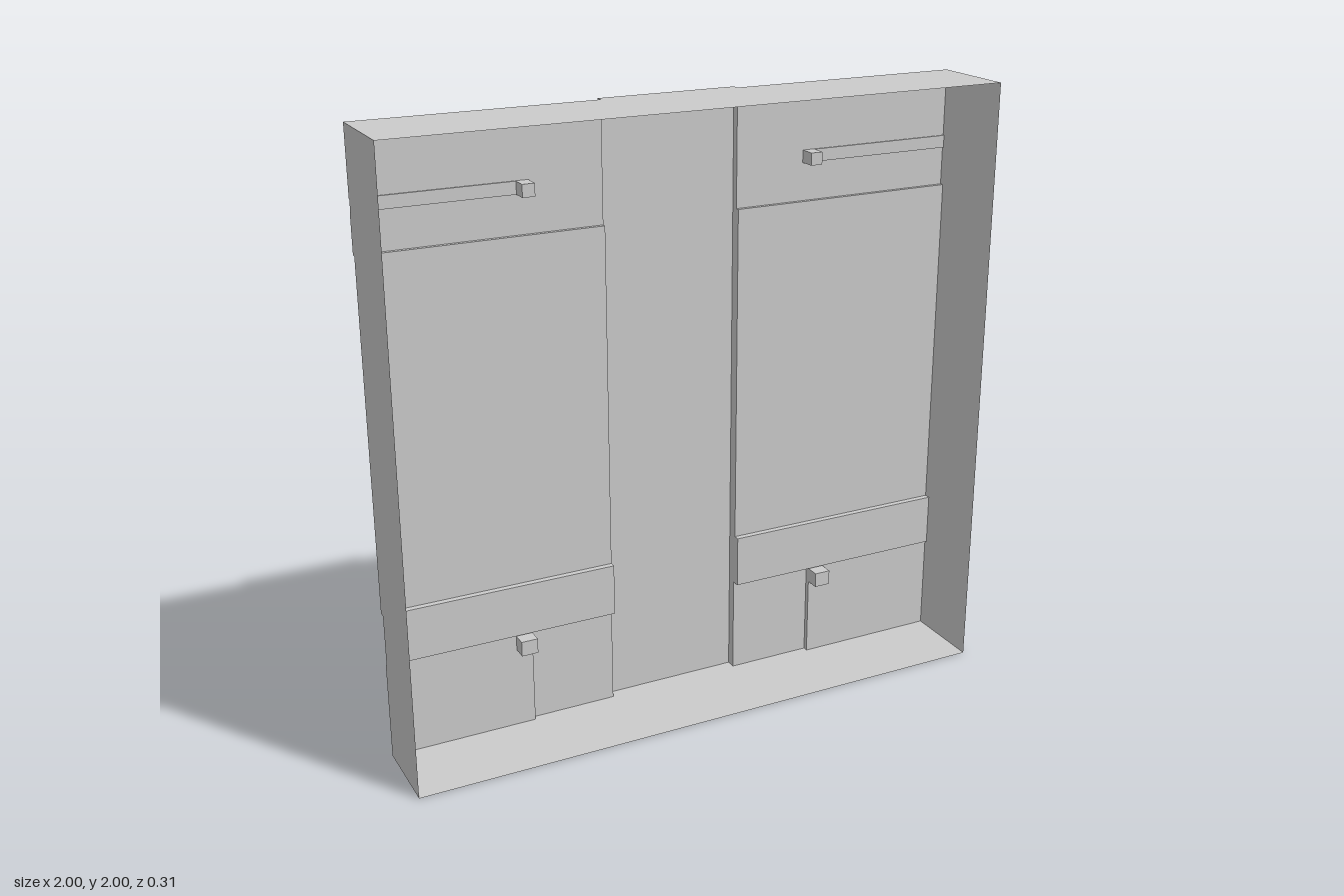
import * as THREE from 'three';

const FRONT = 0.157; // open rim of the shell

// Rectangular zones of one half, as [name, x0, x1, y0, y1, z]; later ones override earlier ones
const zones = [
  ['centreColumn', -0.228, 0.228, 0, 2, -0.157],
  ['upperPanel', 0.228, 1, 1.623, 2, -0.133],
  ['mainPanel', 0.228, 1, 0.498, 1.623, -0.12],
  ['recessedBand', 0.228, 1, 0.325, 0.498, -0.1],
  ['innerPlinth', 0.228, 0.515, 0, 0.325, -0.126],
  ['outerPlinth', 0.515, 1, 0, 0.325, -0.109],
  ['groove', 0.505, 1, 1.746, 1.786, -0.128],
  ['upperSocket', 0.465, 0.505, 1.746, 1.786, -0.08],
  ['lowerSocket', 0.515, 0.57, 0.27, 0.32, -0.062],
];

const sorted = (list) => [...new Set(list)].sort((a, b) => a - b);

// Zone under a point, mirrored about x = 0; outside the plan it is the front rim
function zoneAt(x, y) {
  const ax = Math.abs(x);
  const zone = zones.findLast(([, x0, x1, y0, y1]) => ax > x0 && ax < x1 && y > y0 && y < y1);
  return zone ? { name: zone[0], z: zone[5] } : { name: 'outerWalls', z: FRONT };
}

export function createModel() {
  const model = new THREE.Group();
  model.name = 'panelShell';
  const material = new THREE.MeshStandardMaterial({ color: 0xcccccc, side: THREE.DoubleSide, flatShading: true });
  const parts = {};
  const quad = (name, a, b, c, d) => {
    (parts[name] ??= []).push(...a, ...b, ...c, ...a, ...c, ...d);
  };

  const edgesX = zones.flatMap((z) => [z[1], z[2]]);
  const xs = sorted([-1.1, 1.1, ...edgesX, ...edgesX.map((x) => -x)]);
  const ys = sorted([-0.1, 2.1, ...zones.flatMap((z) => [z[3], z[4]])]);
  const cell = (i, j) => zoneAt((xs[i] + xs[i + 1]) / 2, (ys[j] + ys[j + 1]) / 2);
  // A step belongs to the outer walls, or else to the part nearer the front
  const stepName = (a, b) => ([a, b].some((c) => c.name === 'outerWalls') ? 'outerWalls' : a.z > b.z ? a.name : b.name);

  for (let i = 0; i < xs.length - 1; i++) {
    for (let j = 0; j < ys.length - 1; j++) {
      const x0 = xs[i], x1 = xs[i + 1], y0 = ys[j], y1 = ys[j + 1];
      const here = cell(i, j), z = here.z;

      // Flat face of the sheet
      if (here.name !== 'outerWalls') quad(here.name, [x0, y0, z], [x0, y1, z], [x1, y1, z], [x1, y0, z]);

      // Step to the next cell in x
      if (i < xs.length - 2) {
        const next = cell(i + 1, j);
        if (next.z !== z) quad(stepName(here, next), [x1, y0, z], [x1, y1, z], [x1, y1, next.z], [x1, y0, next.z]);
      }
      // Step to the next cell in y
      if (j < ys.length - 2) {
        const next = cell(i, j + 1);
        if (next.z !== z) quad(stepName(here, next), [x0, y1, z], [x0, y1, next.z], [x1, y1, next.z], [x1, y1, z]);
      }
    }
  }

  // One mesh per named part
  for (const [name, points] of Object.entries(parts)) {
    const geometry = new THREE.BufferGeometry();
    geometry.setAttribute('position', new THREE.Float32BufferAttribute(points, 3));
    geometry.computeVertexNormals();
    const mesh = new THREE.Mesh(geometry, material);
    mesh.name = name;
    model.add(mesh);
  }
  return model;
}
